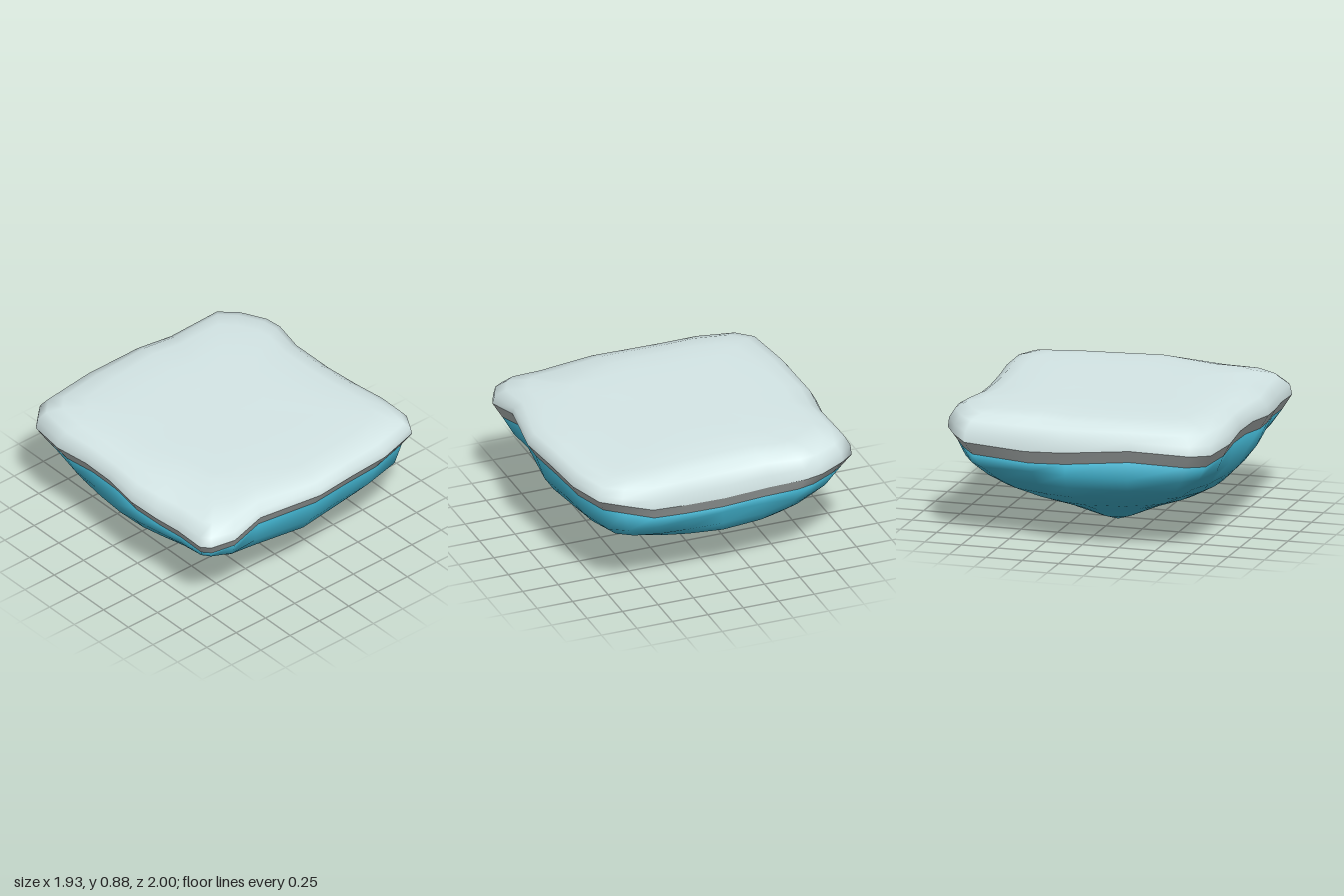
import * as THREE from 'three';
import { mergeVertices } from 'three/addons/utils/BufferGeometryUtils.js';

// Rim of the island: x, z and rim height, from front centre round by +x
const RIM = [
  [-0.03, 1.0, 0.775], [0.28, 0.96, 0.765], [0.58, 0.93, 0.755], [0.87, 0.86, 0.77],
  [0.945, 0.73, 0.755], [0.965, 0.52, 0.69], [0.94, 0.28, 0.665], [0.92, 0.0, 0.65],
  [0.915, -0.33, 0.665], [0.96, -0.56, 0.695], [0.945, -0.68, 0.705], [0.85, -0.86, 0.71],
  [0.74, -0.97, 0.69], [0.33, -0.965, 0.66], [0.06, -1.0, 0.68], [-0.4, -0.985, 0.725],
  [-0.8, -0.945, 0.71], [-0.91, -0.84, 0.70], [-0.955, -0.57, 0.715], [-0.94, -0.3, 0.735],
  [-0.945, -0.05, 0.735], [-0.97, 0.2, 0.715], [-0.95, 0.42, 0.7], [-0.925, 0.62, 0.695],
  [-0.925, 0.84, 0.69], [-0.88, 0.9, 0.695], [-0.73, 0.965, 0.725], [-0.48, 0.925, 0.765],
];

const TOP = 0.885;

// How far a rim point lies into the worn front corner on the -x side
const worn = (x, z) => Math.max(0, -x) * Math.max(0, z);

// Skin a list of rings (ordered bottom to top) with smooth normals
function loft(rings) {
  const n = RIM.length, pos = [], idx = [];
  rings.forEach((ring) => RIM.forEach((p) => pos.push(...ring(p))));
  for (let j = 0; j < rings.length - 1; j++) {
    for (let i = 0; i < n; i++) {
      const a = j * n + i, b = j * n + (i + 1) % n;
      idx.push(a, b, b + n, a, b + n, a + n);
    }
  }
  let geo = new THREE.BufferGeometry();
  geo.setAttribute('position', new THREE.Float32BufferAttribute(pos, 3));
  geo.setIndex(idx);
  geo = mergeVertices(geo, 1e-4);
  geo.computeVertexNormals();
  return geo;
}

// Underside ring at a given height: rounder and lumpier towards the tip
function rockRing(scale, y, round, lump) {
  return ([x, z]) => {
    const r = Math.hypot(x, z), t = Math.atan2(x, z);
    const wave = Math.sin(3 * t + y * 9) * 0.6 + Math.sin(5 * t + 1 - y * 7) * 0.4;
    const wear = 1 - 0.16 * round * worn(x, z);
    const s = scale * ((1 - round) + round / r) * (1 + lump * wave) * wear;
    const driftZ = -0.05 * Math.min(1, (1 - scale) * 4);
    return [x * s - 0.02 * (1 - scale), y + lump * 0.3 * scale * wave, z * s + driftZ];
  };
}

// Snow ring: h blends from the rim height to the flat top, softer on the -x side
function snowRing(scale, h) {
  return ([x, z, y]) => {
    const soft = 1 + 0.25 * Math.max(0, -x) + 0.7 * worn(x, z);
    const s = Math.max(0, 1 - (1 - scale) * (scale > 0.7 ? soft : 1));
    return [x * s, y + (TOP - y) * h, z * s];
  };
}

export function createModel() {
  const material = (name, color) => {
    const m = new THREE.MeshStandardMaterial({ color });
    m.name = name;
    return m;
  };
  const snow = material('pale snow', 0xd7e9e9);
  const stone = material('grey stone', 0xb8bfbe);
  const ice = material('teal ice', 0x43b6d2);

  const group = new THREE.Group();
  group.name = 'floatingIsland';
  const add = (name, rings, mat) => {
    const mesh = new THREE.Mesh(loft(rings), mat);
    mesh.name = name;
    group.add(mesh);
  };

  const rim = ([x, z, y]) => [x, y, z];
  const bandBottom = ([x, z, y]) => [x * 0.945, y - 0.09, z * 0.945];
  const tuckedEdge = ([x, z, y]) => [x * 0.86, y - 0.04, z * 0.86];

  // Tapering underside, its upper edge rolled in behind the rim
  add('iceUnderside', [
    rockRing(0, 0.003, 0, 0),
    rockRing(0.12, 0.045, 1, 0.06),
    rockRing(0.34, 0.145, 1, 0.08),
    rockRing(0.6, 0.245, 0.9, 0.07),
    rockRing(0.79, 0.34, 0.7, 0.06),
    rockRing(0.875, 0.42, 0.4, 0.05),
    rockRing(0.92, 0.51, 0.15, 0.03),
    bandBottom,
    tuckedEdge,
  ], ice);

  // Overhanging stone rim
  add('stoneBand', [bandBottom, rim], stone);

  // Rounded snow cushion with a nearly flat top
  add('snowCap', [
    rim,
    snowRing(0.993, 0.36),
    snowRing(0.955, 0.7),
    snowRing(0.885, 0.9),
    snowRing(0.78, 0.985),
    snowRing(0.55, 1.01),
    snowRing(0.3, 1.01),
    snowRing(0, 1),
  ], snow);

  return group;
}
